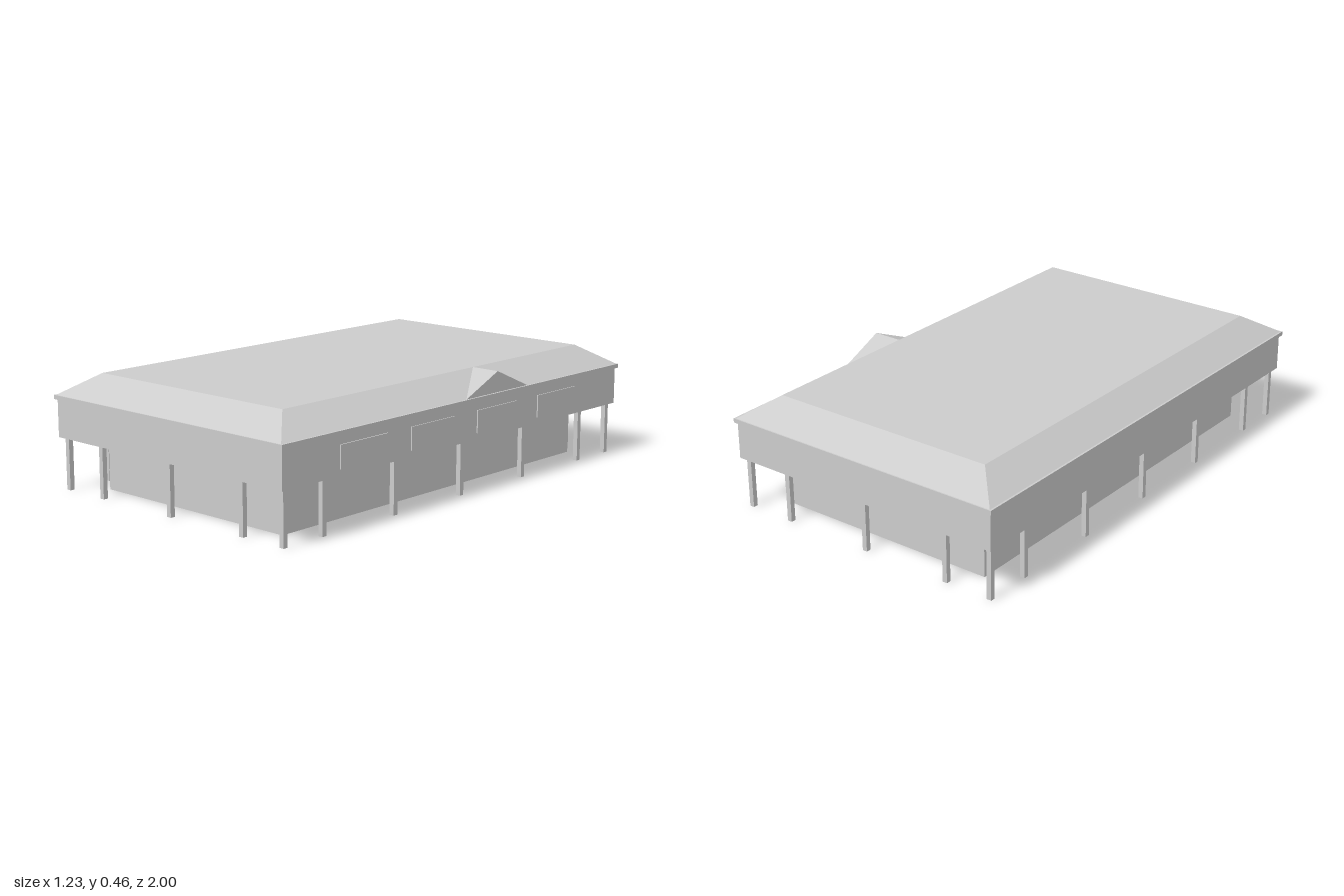
import * as THREE from 'three';

const material = new THREE.MeshStandardMaterial({ color: 0xcccccc, side: THREE.DoubleSide, flatShading: true });

function surface(name, points) {
  const geometry = new THREE.BufferGeometry();
  geometry.setAttribute('position', new THREE.Float32BufferAttribute(points.flat(), 3));
  geometry.computeVertexNormals();
  const mesh = new THREE.Mesh(geometry, material);
  mesh.name = name;
  return mesh;
}

// Skin through stacked rectangles, each given as [half width, height, half depth]
function loft(name, rings) {
  const corners = [[1, 1], [1, -1], [-1, -1], [-1, 1]];
  const at = ([hx, y, hz], i) => [corners[i % 4][0] * hx, y, corners[i % 4][1] * hz];
  const points = [];
  for (let r = 0; r < rings.length - 1; r++) {
    for (let i = 0; i < 4; i++) {
      const a = at(rings[r], i), b = at(rings[r], i + 1);
      const c = at(rings[r + 1], i + 1), d = at(rings[r + 1], i);
      points.push(a, b, c, a, c, d);
    }
  }
  return surface(name, points);
}

function box(name, size, position) {
  const mesh = new THREE.Mesh(new THREE.BoxGeometry(...size), material);
  mesh.name = name;
  mesh.position.set(...position);
  return mesh;
}

export function createModel() {
  const model = new THREE.Group();
  model.name = 'pavilion';

  // Hollow ground floor walls, open below
  model.add(loft('walls', [[0.47, 0, 0.855], [0.47, 0.21, 0.855]]));

  // Overhang underside and the deep fascia above it
  model.add(loft('soffit', [[0.605, 0.21, 0.99], [0.47, 0.21, 0.855]]));
  model.add(loft('fascia', [[0.605, 0.21, 0.99], [0.605, 0.36, 0.99]]));

  // Projecting eave band
  model.add(loft('eave', [
    [0.605, 0.36, 0.99], [0.615, 0.36, 1], [0.615, 0.377, 1], [0.607, 0.377, 0.995],
  ]));

  // Hipped roof with a flat top
  model.add(loft('roofSlopes', [[0.607, 0.377, 0.995], [0.485, 0.46, 0.865]]));
  const top = new THREE.Mesh(new THREE.PlaneGeometry(0.97, 1.73).rotateX(-Math.PI / 2), material);
  top.name = 'roofTop';
  top.position.y = 0.46;
  model.add(top);

  // Gable over the left side, its ridge running back to the flat roof
  const apex = [0.607, 0.46, -0.19], back = [0.485, 0.46, -0.19];
  const near = [0.607, 0.377, 0], far = [0.607, 0.377, -0.38];
  model.add(surface('gable', [near, far, apex, near, apex, back, far, back, apex]));

  // Shallow window panels on the left side
  for (const z of [-0.575, -0.193, 0.193, 0.575]) {
    model.add(box('windowPanel', [0.012, 0.09, 0.25], [0.604, 0.28, z]));
  }

  // Posts around the perimeter
  const posts = new THREE.Group();
  posts.name = 'posts';
  const addPost = (x, z) => posts.add(box('post', [0.02, 0.21, 0.02], [x, 0.105, z]));
  for (const side of [-1, 1]) {
    for (const x of [-0.58, -0.38, 0, 0.38, 0.58]) addPost(x, side * 0.96);
    for (const z of [-0.765, -0.385, 0, 0.385, 0.765]) addPost(side * 0.58, z);
  }
  model.add(posts);

  return model;
}
